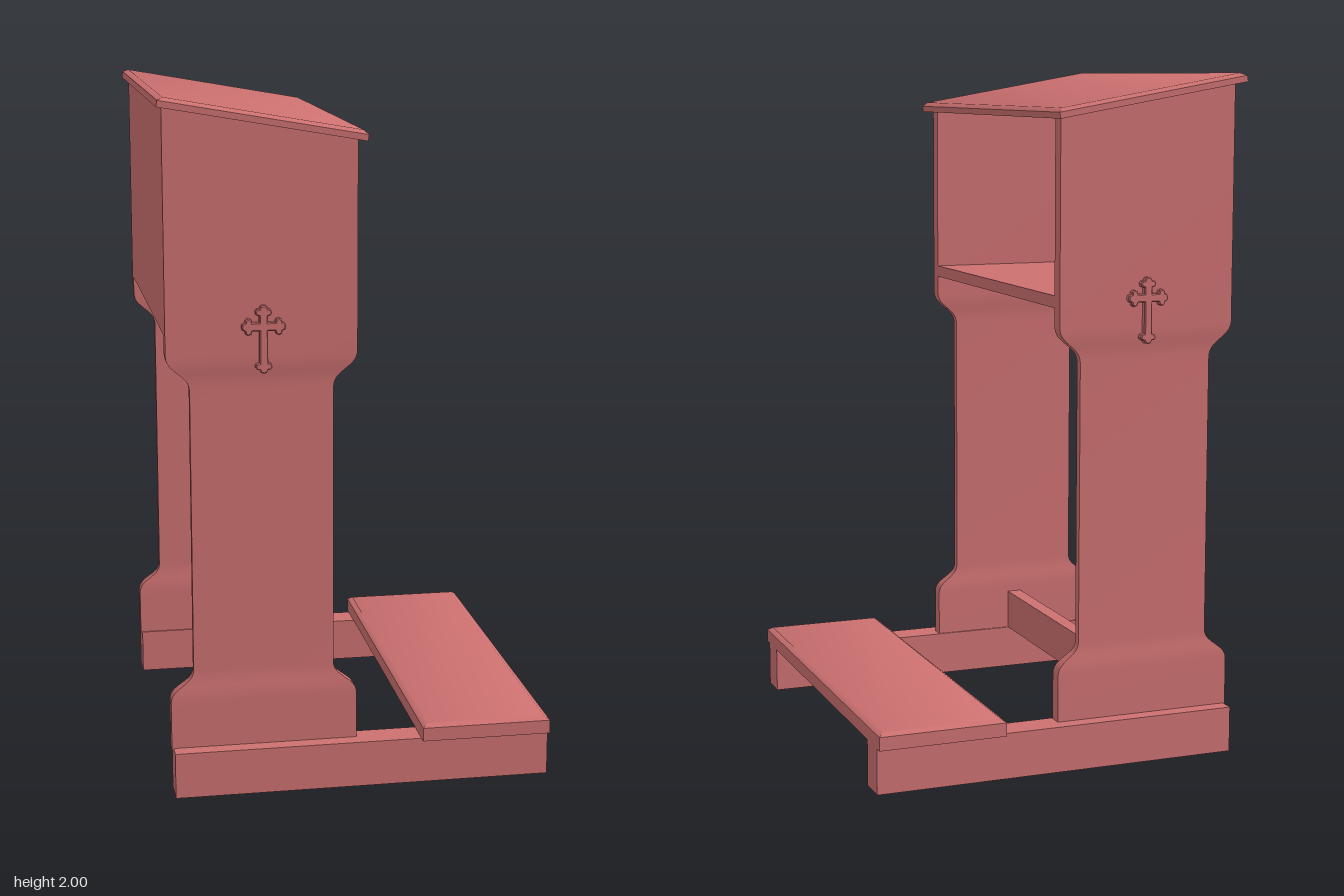
import * as THREE from 'three';
import { toCreasedNormals } from 'three/addons/utils/BufferGeometryUtils.js';

const material = new THREE.MeshStandardMaterial({ color: 0xcc7070 });

function add(parent, name, geometry, x = 0, y = 0, z = 0) {
  const mesh = new THREE.Mesh(geometry, material);
  mesh.name = name;
  mesh.position.set(x, y, z);
  parent.add(mesh);
  return mesh;
}

// Joins rectangular rings, listed from bottom to top, into a closed solid.
// A ring is [x0, x1, half depth, y at x0, y at x1].
function loft(rings) {
  const corners = rings.map(([x0, x1, d, y0, y1 = y0]) =>
    [[x0, y0, d], [x1, y1, d], [x1, y1, -d], [x0, y0, -d]]);
  const out = [];
  const quad = (a, b, c, d) => out.push(...a, ...b, ...c, ...a, ...c, ...d);
  for (let i = 0; i + 1 < corners.length; i++) {
    const lo = corners[i], hi = corners[i + 1];
    for (let j = 0; j < 4; j++) {
      const k = (j + 1) % 4;
      quad(lo[j], lo[k], hi[k], hi[j]);
    }
  }
  const [a, b, c, d] = corners[0];
  quad(d, c, b, a);
  quad(...corners[corners.length - 1]);
  const geometry = new THREE.BufferGeometry();
  geometry.setAttribute('position', new THREE.Float32BufferAttribute(out, 3));
  return toCreasedNormals(geometry, 0.6);
}

// Board with chamfered upper edges, centred on its origin
function board(w, h, d, bevel) {
  const x = w / 2, y = h / 2, z = d / 2;
  return loft([
    [-x, x, z, -y],
    [-x, x, z, y - bevel],
    [-x + bevel * 1.5, x - bevel * 1.5, z - bevel * 1.5, y],
  ]);
}

// Height of the sloping underside of the desk top
const SLOPE = 0.174;
const deskUnder = (x) => 1.878 - SLOPE * (x + 0.005);

// Side panel: wide ends, narrower and thinner waist, S-curved shoulders
function sidePanel() {
  const cx = -0.275, wide = 0.27, narrow = 0.203, thick = 0.02, thin = 0.012;
  const rings = [[cx - wide, cx + wide, thick, 0.13]];
  const shoulder = (y0, y1, flip) => {
    const steps = 10;
    for (let i = 0; i <= steps; i++) {
      const t = i / steps;
      const s = t + Math.sin(2 * Math.PI * t) * -0.13;
      const k = flip ? 1 - s : s;
      const w = wide + (narrow - wide) * k;
      rings.push([cx - w, cx + w, thick + (thin - thick) * k, y0 + (y1 - y0) * t]);
    }
  };
  shoulder(0.275, 0.365, false);
  shoulder(1.185, 1.285, true);
  const x0 = cx - wide, x1 = cx + wide;
  rings.push([x0, x1, thick, deskUnder(x0), deskUnder(x1)]);
  return loft(rings);
}

// Cross with three-lobed arms and a longer foot
function crossGeometry() {
  const w = 0.012;
  // One arm pointing along +y, outlined from its right side to its left
  const half = (len) => [[w, w], [w, len - 0.03], [0.021, len - 0.027],
    [0.024, len - 0.018], [0.019, len - 0.011], [0.012, len - 0.01], [0.008, len - 0.002]];
  const points = [];
  [0.06, 0.062, 0.132, 0.062].forEach((len, i) => {
    const side = half(len);
    const arm = [...side, [0, len], ...side.slice(1).reverse().map(([x, y]) => [-x, y])];
    const a = i * Math.PI / 2;
    for (const [x, y] of arm) {
      points.push(new THREE.Vector2(x * Math.cos(a) - y * Math.sin(a), x * Math.sin(a) + y * Math.cos(a)));
    }
  });
  return new THREE.ExtrudeGeometry(new THREE.Shape(points), {
    depth: 0.034, bevelEnabled: true, bevelThickness: 0.004,
    bevelSize: 0.003, bevelOffset: -0.003, bevelSegments: 1,
  });
}

export function createModel() {
  const model = new THREE.Group();
  model.name = 'prayerKneeler';

  // Matching floor rail, panel and cross on each side
  const panel = sidePanel();
  const cross = crossGeometry();
  for (const s of [1, -1]) {
    const label = s > 0 ? 'left' : 'right';
    add(model, label + 'FloorRail', new THREE.BoxGeometry(1.1, 0.135, 0.09), 0.01, 0.0675, s * 0.54);
    add(model, label + 'SidePanel', panel, 0, 0, s * 0.52);
    const ornament = add(model, label + 'Cross', cross, -0.272, 1.364, s * 0.52);
    if (s < 0) ornament.rotation.y = Math.PI;
  }

  // Padless kneeling board and the low stretcher between the panels
  add(model, 'kneelingBoard', board(0.38, 0.05, 1.22, 0.01), 0.37, 0.16, 0);
  add(model, 'stretcher', new THREE.BoxGeometry(0.045, 0.125, 1.02), -0.275, 0.197, 0);

  // Book compartment, open towards the kneeler
  add(model, 'shelf', new THREE.BoxGeometry(0.538, 0.035, 1.01), -0.275, 1.3575, 0);
  const b0 = -0.545, b1 = -0.51;
  add(model, 'compartmentBack', loft([
    [b0, b1, 0.502, 1.34],
    [b0, b1, 0.502, deskUnder(b0), deskUnder(b1)],
  ]));

  // Sloping desk top
  const desk = add(model, 'deskTop', board(0.585, 0.028, 1.17, 0.01), -0.272, 1.9375, 0);
  desk.rotation.z = -Math.atan(SLOPE);

  return model;
}
